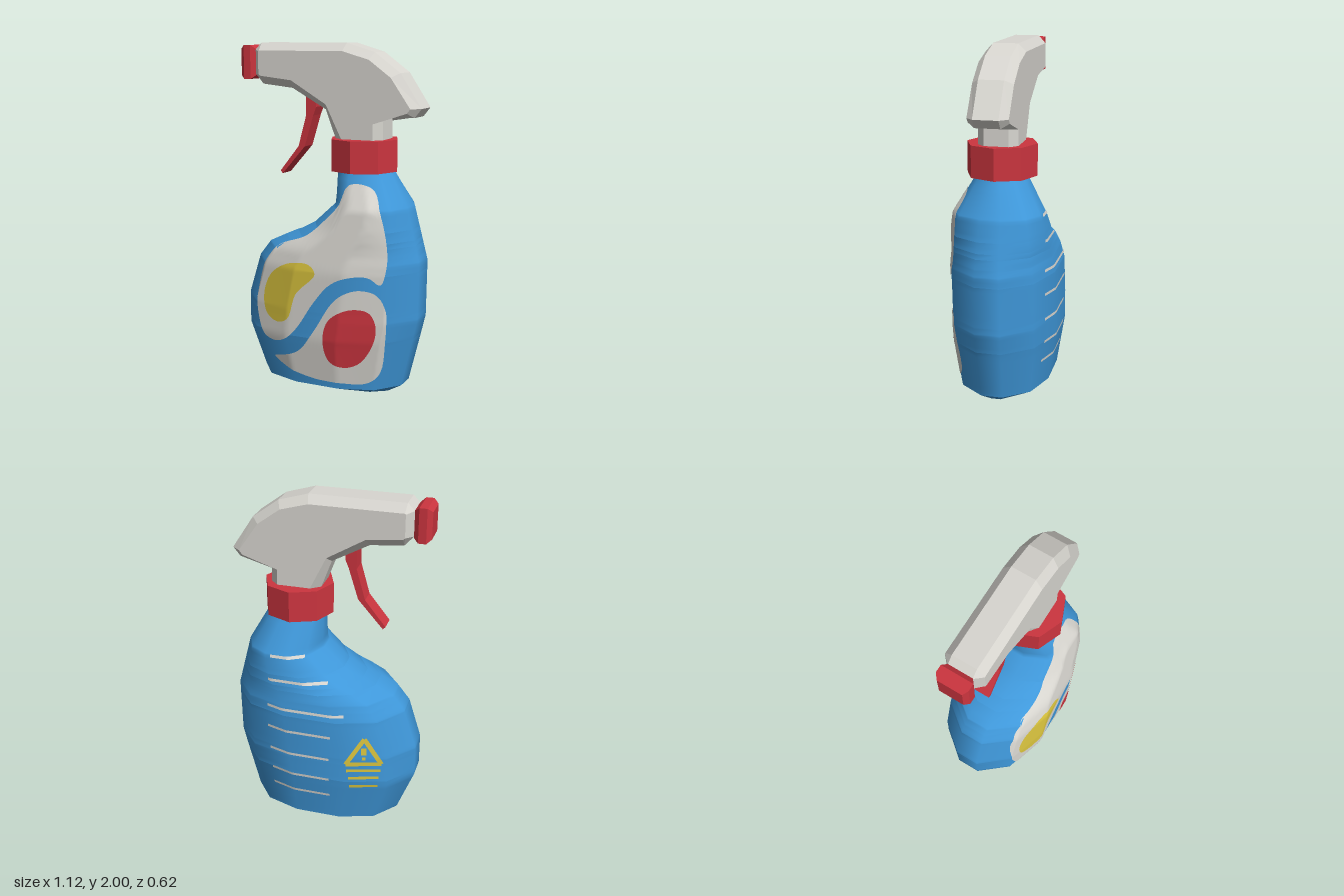
import * as THREE from 'three';

const paint = (name, color) => Object.assign(new THREE.MeshStandardMaterial({ color }), { name });

// Piecewise-linear lookup in a list of [key, value]
function lerpTable(table, k) {
  if (k <= table[0][0]) return table[0][1];
  for (let i = 1; i < table.length; i++) {
    const [k0, v0] = table[i - 1], [k1, v1] = table[i];
    if (k <= k1) return v0 + (v1 - v0) * (k - k0) / (k1 - k0);
  }
  return table[table.length - 1][1];
}

// Skin rows of points; closed wraps each row, flat gives hard facets
function loft(rows, closed, flat) {
  const n = rows[0].length, index = [];
  for (let i = 0; i < rows.length - 1; i++) {
    for (let j = 0; j < (closed ? n : n - 1); j++) {
      const k = (j + 1) % n, a = i * n, b = a + n;
      index.push(a + j, a + k, b + k, a + j, b + k, b + j);
    }
  }
  let g = new THREE.BufferGeometry();
  g.setAttribute('position', new THREE.Float32BufferAttribute(rows.flat(2), 3));
  g.setIndex(index);
  if (flat) g = g.toNonIndexed();
  g.computeVertexNormals();
  return g;
}

// Bottle silhouette by height, and its normalised plan (x, depth)
const LEFT = [[0, -0.34], [0.06, -0.43], [0.32, -0.53], [0.51, -0.53], [0.75, -0.455], [0.84, -0.385],
  [0.89, -0.28], [0.92, -0.2], [0.98, -0.09], [1.1, 0.04], [1.3, 0.04]];
const RIGHT = [[0, 0.36], [0.06, 0.455], [0.46, 0.55], [0.79, 0.555], [1.09, 0.48], [1.3, 0.36]];
const DEPTH = [[0, 0.12], [0.06, 0.265], [0.35, 0.305], [0.74, 0.305], [1.09, 0.25], [1.3, 0.13]];
const PLAN = [[-1, 0.23], [-0.75, 0.755], [-0.3, 1], [0.3, 1], [0.75, 0.755], [1, 0.23]];

function section(y) {
  const l = lerpTable(LEFT, y), r = lerpTable(RIGHT, y);
  return { mid: (l + r) / 2, half: (r - l) / 2, depth: lerpTable(DEPTH, y) };
}

function ring(y) {
  const { mid, half, depth } = section(y);
  const side = s => PLAN.map(([u, w]) => [mid + s * u * half, y, s * w * depth]);
  return [...side(1), ...side(-1)];
}

// Point just outside the bottle wall, on the front (1) or back (-1)
function onBottle(x, y, side) {
  const { mid, half, depth } = section(y);
  return [x, y, side * (lerpTable(PLAN, (x - mid) / half) * depth + 0.005)];
}

// Front label patch from a smooth outline that is simple along x
function label(outline) {
  const curve = new THREE.CatmullRomCurve3(outline.map(([x, y]) => new THREE.Vector3(x, y, 0)), true, 'centripetal');
  const pts = curve.getPoints(160);
  const xs = pts.map(p => p.x), x0 = Math.min(...xs) + 1e-4, x1 = Math.max(...xs) - 1e-4;
  const COLS = 48, ROWS = 28, columns = [];
  for (let i = 0; i <= COLS; i++) {
    const x = x0 + (x1 - x0) * (1 - Math.cos(Math.PI * i / COLS)) / 2, hits = [];
    for (let j = 1; j < pts.length; j++) {
      const a = pts[j - 1], b = pts[j];
      if ((a.x <= x) !== (b.x <= x)) hits.push(a.y + (b.y - a.y) * (x - a.x) / (b.x - a.x));
    }
    columns.push([x, Math.min(...hits), Math.max(...hits)]);
  }
  const rows = [];
  for (let j = 0; j <= ROWS; j++) rows.push(columns.map(([x, b, t]) => onBottle(x, b + (t - b) * j / ROWS, 1)));
  return loft(rows, false, false);
}

// Thin painted stroke on the back of the bottle
function stroke([x0, y0], [x1, y1], width) {
  const len = Math.hypot(x1 - x0, y1 - y0), ax = (x1 - x0) / len, ay = (y1 - y0) / len;
  const rows = [-0.5, 0.5].map(s => Array.from({ length: 17 }, (_, i) => {
    const t = i / 16;
    return onBottle(x0 + (x1 - x0) * t + ay * s * width, y0 + (y1 - y0) * t - ax * s * width, -1);
  }));
  return loft(rows, false, false);
}

const shapeOf = pts => new THREE.Shape(pts.map(p => new THREE.Vector2(...p)));

export function createModel() {
  const model = new THREE.Group();
  model.name = 'sprayBottle';
  const blue = paint('bottleBlue', 0x3f98da), white = paint('offWhite', 0xd8d6d0);
  const red = paint('red', 0xcc353f), yellow = paint('yellow', 0xdac43e);
  const add = (name, geometry, material, parent = model) => {
    const mesh = new THREE.Mesh(geometry, material);
    mesh.name = name;
    parent.add(mesh);
    return mesh;
  };

  // Bottle and its bevelled foot
  const levels = [...new Set([...LEFT, ...RIGHT, ...DEPTH].map(p => p[0])
    .concat(Array.from({ length: 40 }, (_, i) => 0.08 + i * 0.03)))].filter(y => y >= 0.06).sort((a, b) => a - b);
  add('bottle', loft(levels.map(ring), true, false), blue);
  add('bottleFoot', loft([ring(0).map(() => [0, 0, 0]), ring(0), ring(0.06)], true, true), blue);

  // Front label
  add('upperLabel', label([[-0.386, 0.545], [-0.38, 0.44], [-0.333, 0.32], [-0.254, 0.296], [-0.16, 0.333],
    [-0.085, 0.41], [0.01, 0.555], [0.116, 0.677], [0.22, 0.725], [0.33, 0.73], [0.395, 0.69], [0.425, 0.78],
    [0.42, 0.915], [0.375, 1.1], [0.33, 1.195], [0.275, 1.228], [0.165, 1.22], [0.127, 1.116], [0.04, 1.02],
    [-0.07, 0.926], [-0.254, 0.852], [-0.35, 0.73]]), white);
  add('lowerLabel', label([[-0.265, 0.195], [-0.2, 0.155], [-0.016, 0.105], [0.15, 0.097], [0.3, 0.1], [0.37, 0.15],
    [0.41, 0.33], [0.42, 0.555], [0.37, 0.635], [0.275, 0.655], [0.19, 0.625], [0.127, 0.57], [0.01, 0.386],
    [-0.085, 0.265], [-0.2, 0.215]]), white);
  const raise = mesh => { mesh.position.z = 0.004; };
  raise(add('yellowDrop', label([[-0.33, 0.57], [-0.307, 0.455], [-0.23, 0.418], [-0.15, 0.45], [-0.095, 0.6],
    [0.026, 0.73], [-0.016, 0.778], [-0.15, 0.77], [-0.28, 0.69]]), yellow));
  raise(add('redSpot', label([[0.074, 0.34], [0.105, 0.465], [0.22, 0.54], [0.33, 0.533], [0.37, 0.465],
    [0.36, 0.36], [0.28, 0.23], [0.195, 0.196], [0.105, 0.228]]), red));

  // Instruction lines on the back
  const lines = new THREE.Group();
  lines.name = 'backLines';
  model.add(lines);
  [[1.09, 0.29, 0.1], [0.95, 0.3, -0.04], [0.78, 0.31, -0.15], [0.64, 0.31, -0.08], [0.49, 0.3, -0.07],
    [0.35, 0.29, -0.07], [0.23, 0.29, -0.07]].forEach(([y, a, b], i) =>
    add('backLine' + (i + 1), stroke([a, y], [b, y], 0.016), white, lines));

  // Warning triangle with short lines below
  const warning = new THREE.Group();
  warning.name = 'warningSign';
  model.add(warning);
  const corners = [[-0.17, 0.475], [-0.27, 0.64], [-0.37, 0.475]];
  corners.forEach((c, i) => add('triangleEdge', stroke(c, corners[(i + 1) % 3], 0.026), yellow, warning));
  add('triangleMark', stroke([-0.27, 0.58], [-0.27, 0.535], 0.03), yellow, warning);
  add('triangleDot', stroke([-0.27, 0.522], [-0.27, 0.502], 0.02), yellow, warning);
  for (const [y, w] of [[0.43, 0.095], [0.38, 0.085], [0.32, 0.08]])
    add('warningLine', stroke([-0.27 + w, y], [-0.27 - w, y], 0.018), yellow, warning);

  // Screw collar
  const collar = new THREE.CylinderGeometry(0.2, 0.2, 0.18, 8).toNonIndexed();
  collar.computeVertexNormals();
  add('collar', collar, red).position.set(0.19, 1.38, 0);

  // Spray head with chamfered edges: outer rim and inset cheek outline
  const rim = [[0.045, 1.46], [0.33, 1.46], [0.33, 1.59], [0.515, 1.6], [0.555, 1.65], [0.43, 1.84], [0.28, 1.95],
    [0.11, 2], [-0.43, 2], [-0.47, 1.96], [-0.47, 1.82], [-0.42, 1.765], [-0.23, 1.745], [-0.02, 1.63]];
  const cheek = [[0.1, 1.46], [0.285, 1.46], [0.285, 1.56], [0.485, 1.625], [0.505, 1.65], [0.39, 1.815], [0.26, 1.91],
    [0.1, 1.955], [-0.425, 1.955], [-0.43, 1.95], [-0.43, 1.82], [-0.42, 1.812], [-0.22, 1.79], [0, 1.66]];
  const layer = (pts, z) => pts.map(([x, y]) => [x, y, z]);
  const head = new THREE.Group();
  head.name = 'sprayHead';
  model.add(head);
  add('headShell', loft([layer(cheek, -0.113), layer(rim, -0.07), layer(rim, 0.07), layer(cheek, 0.113)], true, true), white, head);
  add('leftCheek', new THREE.ShapeGeometry(shapeOf(cheek)), white, head).position.z = 0.113;
  const mirrored = new THREE.ShapeGeometry(shapeOf(cheek.map(([x, y]) => [-x, y]))).rotateY(Math.PI);
  add('rightCheek', mirrored, white, head).position.z = -0.113;
  // End plate and neck underside
  const endPlate = loft([[[-0.47, 1.82, -0.07], [-0.47, 1.82, 0.07]], [[-0.47, 1.96, -0.07], [-0.47, 1.96, 0.07]]], false, true);
  add('headEnd', endPlate, white, head);

  // Nozzle
  const square = (x, h) => [[1, -1], [1, 1], [-1, 1], [-1, -1]].map(([y, z]) => [x, 1.888 + y * h, z * h * 0.94]);
  add('nozzle', loft([square(-0.565, 0), square(-0.565, 0.075), square(-0.538, 0.097), square(-0.495, 0.097),
    square(-0.468, 0.075), square(-0.468, 0)], true, true), red);

  // Trigger
  const trigger = new THREE.ExtrudeGeometry(shapeOf([[-0.155, 1.74], [-0.155, 1.59], [-0.205, 1.41], [-0.325, 1.26],
    [-0.31, 1.245], [-0.165, 1.41], [-0.11, 1.59], [-0.09, 1.64], [-0.09, 1.72]]), { depth: 0.1, bevelEnabled: false });
  add('trigger', trigger, red).position.z = -0.05;

  return model;
}
